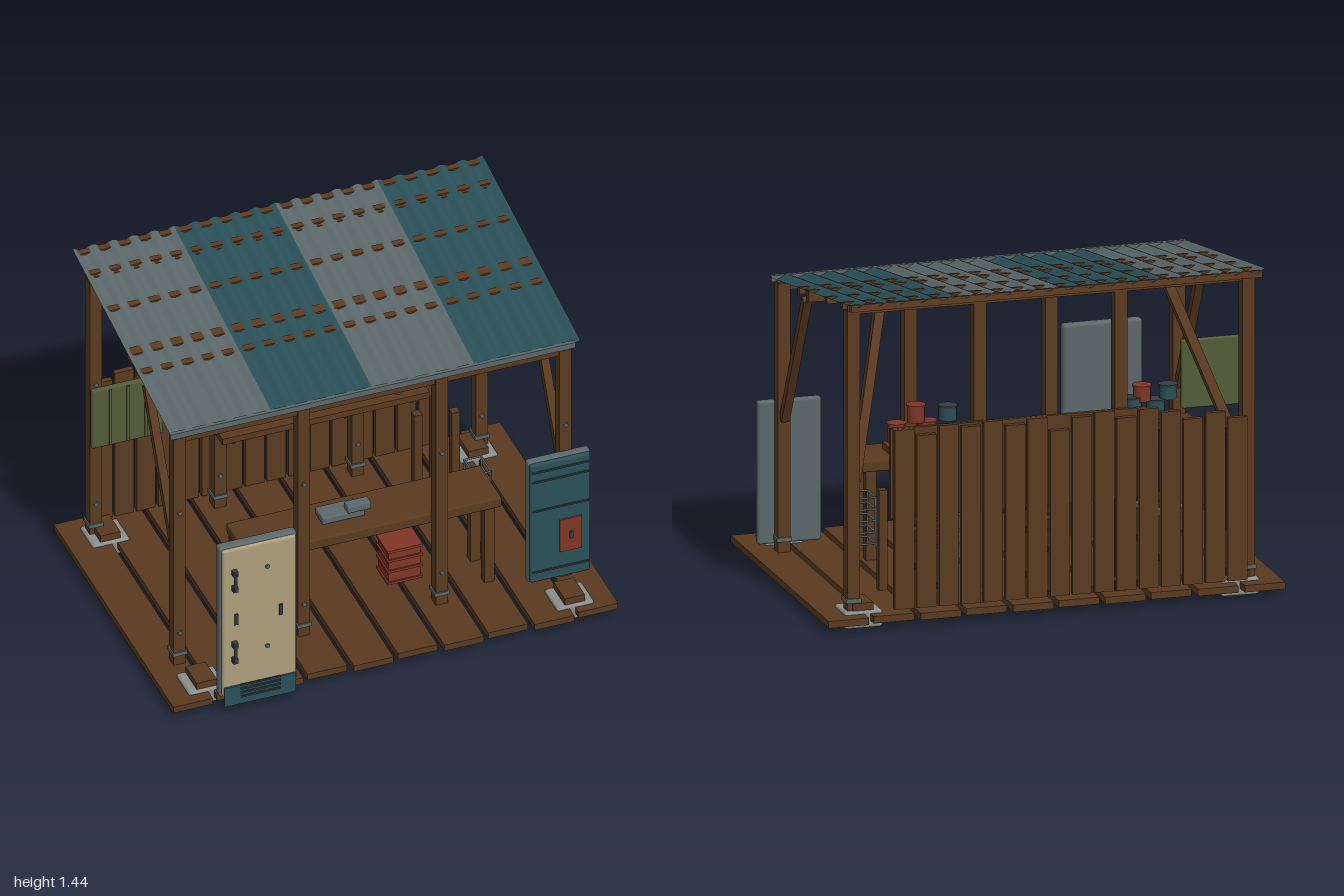
import * as THREE from 'three';
import { RoundedBoxGeometry } from 'three/addons/geometries/RoundedBoxGeometry.js';

const mat = (name, color) => Object.assign(new THREE.MeshStandardMaterial({ color }), { name });

export function createModel() {
  const wood = mat('brown wood', 0x5a3a20);
  const gray = mat('gray metal', 0x5c686a);
  const teal = mat('teal paint', 0x2a5058);
  const cream = mat('cream enamel', 0xae9e7c);
  const red = mat('rust red', 0x803626);
  const green = mat('olive green', 0x525c38);
  const stone = mat('pale concrete', 0x8a908f);
  const dark = mat('dark metal', 0x333d42);
  const tealSheet = mat('teal roof sheet', 0x2a5058);
  const graySheet = mat('gray roof sheet', 0x5c686a);
  tealSheet.side = graySheet.side = THREE.DoubleSide;

  const model = new THREE.Group();
  const add = (name, geo, m, x, y, z, parent = model) => {
    const mesh = new THREE.Mesh(geo, m);
    mesh.name = name;
    mesh.position.set(x, y, z);
    parent.add(mesh);
    return mesh;
  };
  // Box given by its limits on each axis, with optional rounding
  const box = (name, m, x0, x1, y0, y1, z0, z1, r = 0, parent = model) => {
    const s = [x1 - x0, y1 - y0, z1 - z0];
    const geo = r ? new RoundedBoxGeometry(...s, 2, r) : new THREE.BoxGeometry(...s);
    return add(name, geo, m, (x0 + x1) / 2, (y0 + y1) / 2, (z0 + z1) / 2, parent);
  };
  const up = new THREE.Vector3(0, 1, 0);
  // Bar from a to b, square or round
  const bar = (name, m, a, b, w, round = false) => {
    const p = new THREE.Vector3(...a), q = new THREE.Vector3(...b), d = q.clone().sub(p), l = d.length();
    const geo = round ? new THREE.CylinderGeometry(w / 2, w / 2, l, 8) : new THREE.BoxGeometry(w, l, w);
    const mesh = add(name, geo, m, ...p.clone().add(q).multiplyScalar(0.5).toArray());
    mesh.quaternion.setFromUnitVectors(up, d.normalize());
    return mesh;
  };
  const bolt = (x, y, z) => {
    add('bolt', new THREE.CylinderGeometry(0.01, 0.01, 0.012, 8), gray, x, y, z).rotation.x = Math.PI / 2;
  };

  // Floor planks
  for (let i = 0; i < 10; i++) {
    const x = -1 + i * 0.2025, back = i % 9 === 0 ? -0.715 : -0.70 - 0.01 * (i % 2);
    box('floorPlank', wood, x, x + 0.1775, 0.035, 0.065, back, 0.67 - 0.015 * (i % 2));
  }

  // Footing stones with timber pads
  for (const x of [-0.825, 0.825]) for (const z of [0.54, -0.575]) {
    box('footingStone', stone, x - 0.083, x + 0.083, 0.003, 0.078, z - 0.077, z + 0.077, 0.012);
    box('footingPad', wood, x - 0.045, x + 0.045, 0.078, 0.11, z - 0.065, z + 0.065);
  }

  // Posts with collars and bolts
  for (const x of [-0.865, -0.307, 0.31, 0.865]) {
    for (const [z, h] of [[0.367, 1.235], [-0.605, 1.38]]) {
      box('post', wood, x - 0.027, x + 0.027, 0.065, h, z - 0.028, z + 0.028);
      box('postCollar', gray, x - 0.033, x + 0.033, 0.112, 0.13, z - 0.034, z + 0.034);
      for (const y of [0.23, 0.85]) bolt(x, y, z + 0.03);
    }
  }

  // Diagonal braces
  for (const s of [-1, 1]) {
    bar('frontBrace', wood, [s * 0.865, 0.645, 0.335], [s * 0.865, 1.255, 0.02], 0.036);
    bar('backBrace', wood, [s * 0.84, 0.62, -0.57], [s * 0.62, 1.305, -0.225], 0.04);
  }

  // Eave beams and gutter strip
  box('frontBeam', wood, -0.89, 0.89, 1.205, 1.24, 0.345, 0.385);
  box('gutterStrip', gray, -0.905, 0.91, 1.235, 1.262, 0.375, 0.393);
  box('backBeam', wood, -0.89, 0.89, 1.365, 1.405, -0.63, -0.58);

  // Corrugated roof: four sheets on a tilted frame
  const roof = new THREE.Group();
  roof.name = 'roof';
  roof.position.set(0, 1.345, -0.182);
  roof.rotation.x = 0.162;
  model.add(roof);
  const edges = [-0.905, -0.45, 0.003, 0.46, 0.935];
  for (let i = 0; i < 4; i++) {
    const w = edges[i + 1] - edges[i];
    const geo = new THREE.PlaneGeometry(w, 1.15, 40, 1).rotateX(-Math.PI / 2);
    const p = geo.attributes.position;
    for (let k = 0; k < p.count; k++) {
      p.setY(k, 0.009 * Math.cos((p.getX(k) / w + 0.5) * 10 * Math.PI));
    }
    geo.computeVertexNormals();
    add('roofSheet', geo, i % 2 ? tealSheet : graySheet, (edges[i] + edges[i + 1]) / 2, 0, 0, roof);
  }
  // Purlins whose tops show in the valleys of the sheets
  for (const [z, d, h] of [[-0.73, 0.028, 0.03], [-0.605, 0.024, 0.03], [-0.385, 0.028, 0.03], [-0.125, 0.042, 0.05], [-0.003, 0.028, 0.03]]) {
    const zl = (z + 0.182) / Math.cos(0.162);
    box('purlin', wood, -0.89, 0.91, 0.002 - h, 0.002, zl - d / 2, zl + d / 2, 0, roof);
  }

  // Back wall of uneven planks, with an inner backboard
  const tops = [0.79, 0.82, 0.8, 0.84, 0.86, 0.83, 0.865, 0.85, 0.8, 0.86, 0.84, 0.865, 0.85, 0.865, 0.83, 0.86];
  tops.forEach((h, i) => {
    const x = -0.845 + i * 0.0973;
    box('wallPlank', wood, x, x + 0.085, 0.08, h, -0.682, -0.657);
  });
  box('backboard', wood, -0.42, 0.71, 0.47, 0.86, -0.655, -0.636);

  // Wall shelves, rails and hanging tools
  box('lowShelf', wood, -0.33, 0.6, 0.45, 0.48, -0.577, -0.493);
  box('leftShelf', wood, -0.65, -0.33, 0.735, 0.765, -0.577, -0.47);
  box('rightShelf', wood, 0.35, 0.69, 0.725, 0.755, -0.577, -0.47);
  for (const x of [-0.25, 0.25, 0.55]) bar('shelfBracket', gray, [x, 0.385, -0.575], [x, 0.45, -0.52], 0.01);
  for (const y of [0.54, 0.715]) bar('toolRail', gray, [-0.42, y, -0.625], [0.6, y, -0.625], 0.01, true);
  for (const [x, l] of [[-0.15, 0.17], [0.02, 0.14], [0.17, 0.16], [0.51, 0.15]]) {
    add('toolRing', new THREE.TorusGeometry(0.02, 0.006, 6, 12), gray, x, 0.685, -0.615);
    bar('toolHandle', gray, [x, 0.67, -0.615], [x - 0.01, 0.685 - l, -0.615], 0.013);
  }

  // Tins with lids on the shelves
  const tins = [[teal, -0.555, 0.845, 0.06], [red, -0.44, 0.845, 0.065], [teal, -0.4, 0.78, 0.08], [teal, -0.5, 0.765, 0.08],
    [teal, 0.41, 0.835, 0.06], [red, 0.55, 0.838, 0.072], [red, 0.635, 0.757, 0.08], [red, 0.5, 0.757, 0.08], [teal, 0.455, 0.52, 0.055]];
  for (const [m, x, y, h] of tins) {
    const r = y < 0.6 ? 0.026 : 0.038;
    add('tin', new THREE.CylinderGeometry(r, r, h, 14), m, x, y + h / 2, -0.497);
    add('tinLid', new THREE.CylinderGeometry(r + 0.004, r + 0.004, 0.008, 14), m === teal ? dark : m, x, y + h, -0.497);
  }

  // Workbench with legs and a drawer cabinet
  box('benchTop', wood, -0.54, 0.6, 0.455, 0.505, 0.093, 0.342, 0.008);
  for (const z of [0.14, 0.3]) box('benchLeg', wood, 0.53, 0.575, 0.065, 0.455, z - 0.02, z + 0.02);
  box('drawerCabinet', wood, -0.54, -0.33, 0.085, 0.455, 0.12, 0.31);
  for (let i = 0; i < 4; i++) {
    const y = 0.1 + i * 0.085;
    box('drawerFront', i % 2 ? teal : cream, -0.53, -0.34, y, y + 0.072, 0.31, 0.325);
    box('drawerPull', dark, -0.46, -0.41, y + 0.03, y + 0.042, 0.325, 0.337);
  }
  box('benchVice', gray, -0.17, 0.02, 0.505, 0.54, 0.165, 0.255, 0.006);
  box('viceHead', gray, -0.06, 0.045, 0.54, 0.575, 0.215, 0.265, 0.006);

  // Red crate under the bench
  box('crate', red, 0.135, 0.28, 0.1, 0.27, 0.11, 0.228);
  for (const y of [0.1, 0.16, 0.215, 0.262]) box('crateRim', red, 0.128, 0.287, y, y + 0.012, 0.103, 0.235);

  // Wire rack
  for (const x of [0.6, 0.675]) {
    for (const z of [-0.1, 0.02]) bar('rackRod', gray, [x, 0.18, z], [x, 0.405, z * 0.9], 0.009, true);
    for (let i = 0; i < 5; i++) bar('rackRung', gray, [x, 0.2 + i * 0.05, -0.098], [x, 0.2 + i * 0.05, 0.02], 0.009, true);
  }
  for (let i = 0; i < 5; i++) for (const z of [-0.095, 0.02]) {
    bar('rackRung', gray, [0.6, 0.2 + i * 0.05, z], [0.675, 0.2 + i * 0.05, z], 0.009, true);
  }

  // Spare timbers standing upright
  [[0.47, 0.53], [0.55, 0.585], [0.64, 0.5]].forEach(([x, h]) =>
    box('spareTimber', wood, x - 0.018, x + 0.018, 0.065, h, -0.33, -0.292));

  // Olive panel
  box('olivePanel', green, -0.99, -0.67, 0.738, 1.037, -0.322, -0.295, 0.008);
  for (const x of [-0.91, -0.83, -0.75]) box('panelRib', green, x - 0.006, x + 0.006, 0.745, 1.03, -0.295, -0.289);

  // Cream appliance door with vent and handles
  box('doorBody', gray, -0.805, -0.455, 0.08, 0.855, 0.652, 0.7, 0.015);
  box('doorFace', cream, -0.795, -0.465, 0.09, 0.845, 0.69, 0.713, 0.01);
  box('ventPanel', teal, -0.79, -0.47, 0.045, 0.14, 0.713, 0.722);
  for (let i = 0; i < 4; i++) box('ventSlat', dark, -0.72, -0.54, 0.08 + i * 0.02, 0.088 + i * 0.02, 0.722, 0.727);
  for (const y of [0.32, 0.69]) {
    bar('doorHandle', dark, [-0.745, y - 0.04, 0.735], [-0.745, y + 0.04, 0.735], 0.016, true);
    for (const s of [-0.04, 0.04]) {
      box('handleMount', dark, -0.756, -0.734, y + s - 0.012, y + s + 0.012, 0.71, 0.738);
    }
  }
  for (const x of [-0.735, -0.535]) box('doorSlot', dark, x - 0.008, x + 0.008, 0.455, 0.51, 0.713, 0.719);
  for (const y of [0.31, 0.72]) bolt(-0.595, y, 0.714);

  // Teal cabinet door with ribs and a red patch
  box('cabinetBody', gray, 0.685, 0.965, 0.092, 0.715, 0.385, 0.425, 0.012);
  box('cabinetFace', teal, 0.69, 0.96, 0.1, 0.708, 0.415, 0.44, 0.01);
  for (const y of [0.155, 0.47, 0.62, 0.67]) box('cabinetRib', dark, 0.7, 0.95, y - 0.004, y + 0.004, 0.44, 0.445);
  box('redPatch', red, 0.82, 0.918, 0.235, 0.4, 0.44, 0.448);
  box('patchLatch', dark, 0.862, 0.876, 0.3, 0.335, 0.448, 0.455);

  return model;
}
